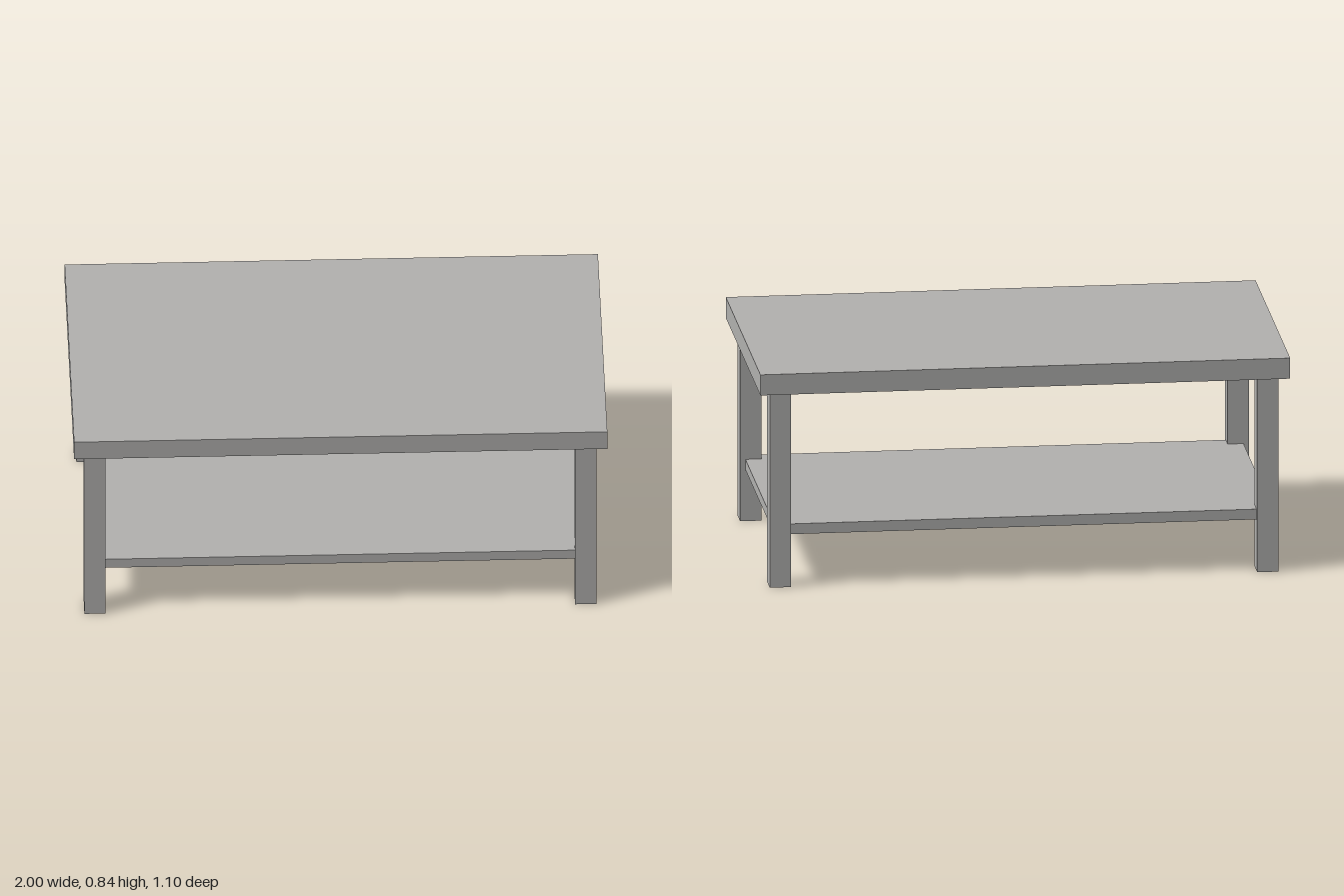
import * as THREE from 'three';

export function createModel() {
  const table = new THREE.Group();
  table.name = 'coffeeTable';

  const grey = new THREE.MeshStandardMaterial({ color: 0xb3b2b0 });
  grey.name = 'warm grey';

  // Box placed by its centre in x and z and by its underside in y
  const addBox = (name, width, height, depth, x, bottom, z) => {
    const mesh = new THREE.Mesh(new THREE.BoxGeometry(width, height, depth), grey);
    mesh.name = name;
    mesh.position.set(x, bottom + height / 2, z);
    table.add(mesh);
  };

  // Thick top and the thin shelf let into the legs
  addBox('tableTop', 2, 0.08, 1.1, 0, 0.76, 0);
  addBox('lowerShelf', 1.88, 0.04, 0.98, 0, 0.2, 0);

  // Four square legs, set in from the edges of the top
  for (const [side, sx] of [['Left', 1], ['Right', -1]]) {
    for (const [end, sz] of [['front', 1], ['back', -1]]) {
      addBox(`${end}${side}Leg`, 0.08, 0.76, 0.08, sx * 0.92, 0, sz * 0.47);
    }
  }

  return table;
}
